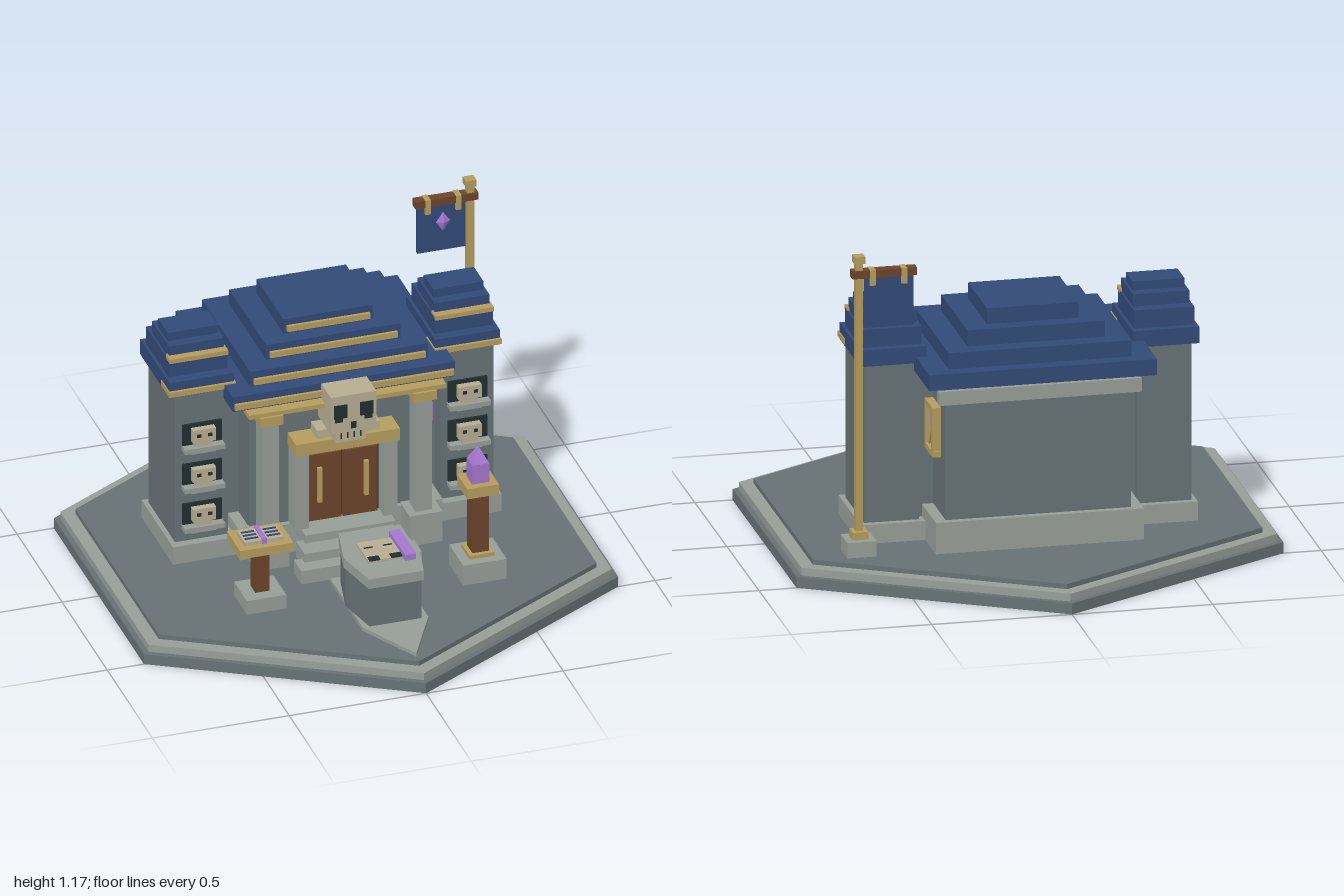
import * as THREE from 'three';

const mat = (name, color) => {
  const m = new THREE.MeshStandardMaterial({ color, flatShading: true });
  m.name = name;
  return m;
};

export function createModel() {
  const root = new THREE.Group();
  root.name = 'shrineHall';
  const stone = mat('darkStone', 0x677275), pale = mat('paleStone', 0x979e98), blue = mat('roofBlue', 0x324a78);
  const gold = mat('gold', 0xb59d5e), wood = mat('wood', 0x6d452b), purple = mat('crystalPurple', 0xa576d0);
  const bone = mat('bone', 0xb8ad92), black = mat('darkRecess', 0x1f2e2f);

  const add = (name, geo, m, parent = root) => {
    const mesh = new THREE.Mesh(geo, m);
    mesh.name = name;
    parent.add(mesh);
    return mesh;
  };
  // box from its limits on x, y and z
  const box = (name, m, x0, x1, y0, y1, z0, z1, parent = root) => {
    const mesh = add(name, new THREE.BoxGeometry(x1 - x0, y1 - y0, z1 - z0), m, parent);
    mesh.position.set((x0 + x1) / 2, (y0 + y1) / 2, (z0 + z1) / 2);
    return mesh;
  };
  // upright prism from a plan outline of [x, z] points
  const prism = (name, m, pts, y0, y1) => {
    const shape = new THREE.Shape(pts.map(([x, z]) => new THREE.Vector2(x, -z)));
    const geo = new THREE.ExtrudeGeometry(shape, { depth: y1 - y0, bevelEnabled: false });
    geo.rotateX(-Math.PI / 2).translate(0, y0, 0);
    return add(name, geo, m);
  };
  const group = (name, x = 0, y = 0, z = 0) => {
    const g = new THREE.Group();
    g.name = name;
    g.position.set(x, y, z);
    root.add(g);
    return g;
  };

  // Hexagonal platform
  for (const [r, y0, y1, m] of [[1, 0, 0.04, stone], [0.977, 0.04, 0.068, pale], [0.923, 0.068, 0.086, stone]]) {
    const g = new THREE.CylinderGeometry(r, r, y1 - y0, 6).translate(0, (y0 + y1) / 2, 0);
    add('platform', g, m);
  }
  const F = 0.086;

  // Main hall
  box('hallPlinth', pale, -0.37, 0.37, F, 0.2, -0.5, 0.06);
  box('hallBody', stone, -0.33, 0.33, 0.2, 0.7, -0.475, 0.04);
  box('rearCornice', pale, -0.36, 0.36, 0.63, 0.68, -0.51, -0.47);
  box('frontBeam', gold, -0.36, 0.36, 0.683, 0.7, 0.03, 0.13);

  // Stepped roof with gold trim along the front of each tier
  const tiers = [
    [0.405, 0.7, 0.758, -0.55, 0.088], [0.325, 0.758, 0.817, -0.5, 0.035],
    [0.245, 0.817, 0.875, -0.44, -0.03], [0.163, 0.875, 0.932, -0.385, -0.088]];
  tiers.forEach(([w, y0, y1, z0, z1], i) => {
    box('roofTier', blue, -w, w, y0, y1, z0, z1);
    const t = i ? w - 0.012 : w - 0.005;
    box('roofTrim', gold, -t, t, y0 + 0.01, y0 + 0.032, z1 - 0.004, z1 + 0.012);
  });

  // Steps up to the door
  box('lowStep', pale, -0.22, 0.22, F, 0.138, 0.2, 0.285);
  box('middleStep', pale, -0.19, 0.19, 0.11, 0.172, 0.135, 0.23);
  box('topStep', pale, -0.165, 0.165, 0.15, 0.203, 0.05, 0.16);

  // Doorway
  box('doorRecess', black, -0.14, 0.14, 0.2, 0.51, 0.03, 0.055);
  box('doorLintel', gold, -0.19, 0.19, 0.508, 0.555, 0.03, 0.135);
  for (const s of [-1, 1]) {
    box('door', wood, s * 0.066 - 0.063, s * 0.066 + 0.063, 0.203, 0.465, 0.05, 0.07);
    box('doorHandle', gold, s * 0.085 - 0.008, s * 0.085 + 0.008, 0.28, 0.415, 0.07, 0.085);
    box('doorPost', pale, s * 0.162 - 0.025, s * 0.162 + 0.025, 0.2, 0.51, 0.03, 0.115);
    // Columns on pedestals
    const c = s * 0.28;
    box('columnPedestal', pale, c - 0.06, c + 0.06, F, 0.205, 0.03, 0.15);
    box('column', pale, c - 0.03, c + 0.03, 0.2, 0.655, 0.055, 0.125);
    box('capital', gold, c - 0.042, c + 0.042, 0.65, 0.685, 0.045, 0.14);
  }

  // Skull above the door
  const skull = group('skullOrnament');
  box('cranium', bone, -0.083, 0.083, 0.61, 0.757, 0.05, 0.195, skull);
  box('jaw', bone, -0.055, 0.055, 0.555, 0.61, 0.06, 0.165, skull);
  box('nose', black, -0.01, 0.01, 0.625, 0.65, 0.194, 0.199, skull);
  for (const s of [-1, 1]) {
    box('eyeSocket', black, s * 0.048 - 0.024, s * 0.048 + 0.024, 0.67, 0.722, 0.194, 0.199, skull);
    box('eyeCorner', black, s * 0.054 - 0.014, s * 0.054 + 0.014, 0.655, 0.67, 0.194, 0.199, skull);
    box('cheekBone', bone, s * 0.09 - 0.025, s * 0.09 + 0.025, 0.57, 0.602, 0.07, 0.14, skull);
    for (const x of [0.012, 0.036]) box('toothGap', black, s * x - 0.002, s * x + 0.002, 0.57, 0.6, 0.163, 0.168, skull);
  }

  // Side towers with three skull niches each
  for (const s of [-1, 1]) {
    const t = group(s < 0 ? 'rightTower' : 'leftTower', s * 0.485);
    box('towerPlinth', pale, -0.115, 0.115, F, 0.155, -0.335, 0.015, t);
    box('towerBody', stone, -0.097, 0.097, 0.15, 0.74, -0.31, -0.018, t);
    box('towerEaveTrim', gold, -0.122, 0.122, 0.742, 0.762, -0.1, -0.004, t);
    box('towerRoofLow', blue, -0.118, 0.118, 0.735, 0.795, -0.34, -0.015, t);
    box('towerRoofMiddle', blue, -0.107, 0.107, 0.795, 0.86, -0.31, -0.055, t);
    box('towerTrim', gold, -0.107, 0.107, 0.853, 0.87, -0.09, -0.045, t);
    box('towerRoofUpper', blue, -0.1, 0.1, 0.86, 0.905, -0.265, -0.075, t);
    box('towerRoofTop', blue, -0.092, 0.092, 0.905, 0.937, -0.222, -0.115, t);
    for (const y of [0.205, 0.363, 0.52]) {
      box('niche', black, -0.072, 0.072, y + 0.01, y + 0.1, -0.03, -0.01, t);
      box('shelf', pale, -0.074, 0.074, y, y + 0.018, -0.03, 0.022, t);
      box('shelfBracket', pale, -0.045, 0.045, y - 0.012, y, -0.03, 0.008, t);
      box('nicheSkull', bone, -0.042, 0.042, y + 0.036, y + 0.086, -0.02, 0.016, t);
      box('nicheJaw', bone, -0.03, 0.03, y + 0.018, y + 0.036, -0.02, 0.012, t);
      for (const e of [-1, 1]) box('nicheEye', black, e * 0.02 - 0.007, e * 0.02 + 0.007, y + 0.058, y + 0.07, 0.015, 0.019, t);
    }
    box('linkWall', stone, s > 0 ? -0.165 : 0.09, s > 0 ? -0.09 : 0.165, 0.15, 0.72, -0.28, -0.08, t);
  }

  // Wand hanging between hall and tower
  box('wandShaft', wood, 0.338, 0.364, 0.53, 0.68, -0.07, -0.045);
  box('wandCrystal', purple, 0.335, 0.367, 0.46, 0.53, -0.075, -0.04);

  // Framed crystal window on the side wall
  const win = group('sideWindow', 0.33, 0.497, -0.335);
  box('windowGlass', purple, 0, 0.012, -0.08, 0.08, -0.05, 0.05, win);
  for (const s of [-1, 1]) {
    box('windowRail', gold, 0, 0.03, s * 0.08 - 0.01, s * 0.08 + 0.01, -0.068, 0.068, win);
    box('windowStile', gold, 0, 0.03, -0.085, 0.085, s * 0.055 - 0.009, s * 0.055 + 0.009, win);
  }
  box('windowBar', gold, 0, 0.02, -0.08, 0.08, -0.006, 0.006, win).rotation.x = -0.5;

  // Altar with floor wedge
  const ring = (k) => [[-0.1, 0.33], [-0.137, 0.5], [-0.1, 0.67], [0.1, 0.67], [0.137, 0.5], [0.1, 0.33]]
    .map(([x, z]) => [x * k, 0.5 + (z - 0.5) * k]);
  prism('floorWedge', pale, [[-0.12, 0.3], [-0.12, 0.66], [0, 0.89], [0.12, 0.66], [0.12, 0.3]], F, 0.1);
  prism('altarBody', stone, ring(0.95), 0.1, 0.26);
  prism('altarTop', pale, ring(1), 0.255, 0.293);

  // Skull slab and crystal bar on the altar
  box('altarSkull', bone, -0.068, 0.058, 0.293, 0.303, 0.43, 0.565);
  for (const s of [-1, 1]) {
    box('altarSkullEye', black, s * 0.04 - 0.024, s * 0.04 + 0.016, 0.301, 0.306, 0.54, 0.566);
    box('altarSkullMark', black, s * 0.035 - 0.02, s * 0.035 + 0.012, 0.301, 0.305, 0.472, 0.478);
  }
  box('altarCrystal', purple, 0.06, 0.1, 0.293, 0.315, 0.405, 0.585);

  // Reading stand with open book
  const stand = group('readingStand', -0.394, 0, 0.355);
  box('standBase', pale, -0.072, 0.072, F, 0.14, -0.072, 0.072, stand);
  box('standLeg', wood, -0.026, 0.026, 0.14, 0.315, -0.026, 0.026, stand);
  box('standTop', gold, -0.097, 0.097, 0.312, 0.345, -0.074, 0.074, stand);
  box('bookSpine', purple, -0.008, 0.008, 0.345, 0.366, -0.045, 0.05, stand);
  for (const s of [-1, 1]) {
    const c = s * 0.04;
    box('bookPage', bone, c - 0.032, c + 0.032, 0.345, 0.36, -0.042, 0.047, stand);
    for (const z of [-0.02, 0.003, 0.026]) box('bookLine', blue, c - 0.024, c + 0.024, 0.358, 0.363, z - 0.004, z + 0.004, stand);
  }

  // Crystal pedestal
  const ped = group('crystalPedestal', 0.39, 0, 0.39);
  box('pedestalBase', pale, -0.079, 0.079, F, 0.165, -0.079, 0.079, ped);
  box('pedestalCollar', gold, -0.045, 0.045, 0.165, 0.18, -0.045, 0.045, ped);
  box('pedestalPost', wood, -0.03, 0.03, 0.18, 0.415, -0.03, 0.03, ped);
  box('pedestalPlate', gold, -0.058, 0.058, 0.415, 0.455, -0.058, 0.058, ped);
  box('crystalShaft', purple, -0.031, 0.031, 0.455, 0.53, -0.031, 0.031, ped);
  const tip = new THREE.ConeGeometry(0.031 * Math.SQRT2, 0.06, 4).rotateY(Math.PI / 4).translate(0, 0.56, 0);
  add('crystalTip', tip, purple, ped);

  // Banner on its pole
  const pole = group('bannerPole', 0.628, 0, -0.425);
  box('poleBase', pale, -0.052, 0.052, F, 0.142, -0.052, 0.052, pole);
  box('poleCollar', gold, -0.028, 0.028, 0.142, 0.17, -0.028, 0.028, pole);
  box('pole', gold, -0.013, 0.013, 0.17, 1.15, -0.013, 0.013, pole);
  box('poleCap', gold, -0.019, 0.019, 1.146, 1.172, -0.019, 0.019, pole);
  box('crossbar', wood, -0.203, 0.026, 1.092, 1.12, -0.018, 0.018, pole);
  box('banner', blue, -0.193, -0.018, 0.908, 1.094, -0.007, 0.007, pole);
  for (const x of [-0.158, -0.046]) box('bannerRing', gold, x - 0.01, x + 0.01, 1.065, 1.122, -0.021, 0.021, pole);
  const gem = add('bannerGem', new THREE.OctahedronGeometry(1), purple, pole);
  gem.scale.set(0.026, 0.038, 0.012);
  gem.position.set(-0.1, 1.022, 0.008);

  return root;
}
